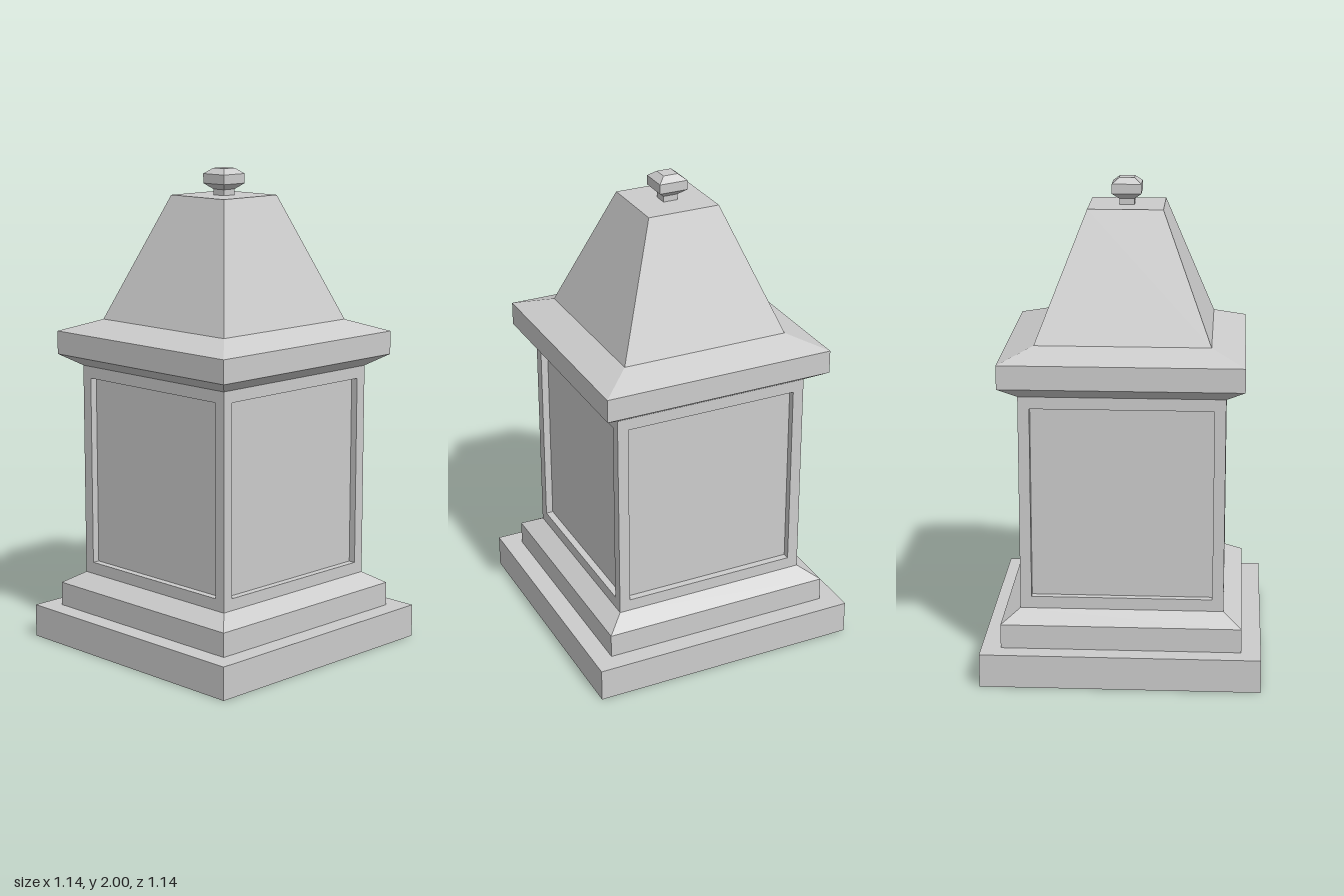
import * as THREE from 'three';

const material = new THREE.MeshStandardMaterial({ color: 0xcccccc, flatShading: true });

// Square stack: each profile entry is [half width, height], listed bottom to top
function squareLoft(profile) {
  const points = profile.map(([half, y]) => new THREE.Vector2(half * Math.SQRT2, y));
  const geometry = new THREE.LatheGeometry(points, 4, Math.PI / 4).toNonIndexed();
  geometry.computeVertexNormals();
  return geometry;
}

function addPart(parent, name, geometry) {
  const mesh = new THREE.Mesh(geometry, material);
  mesh.name = name;
  parent.add(mesh);
  return mesh;
}

export function createModel() {
  const model = new THREE.Group();
  model.name = 'pedestalMonument';

  // Stepped base with a sloped top
  addPart(model, 'base', squareLoft([
    [0, 0], [0.57, 0], [0.57, 0.138], [0.49, 0.138], [0.49, 0.238], [0.415, 0.286], [0, 0.286],
  ]));

  // Shaft: four walls, each a frame around a recessed panel
  const shaft = new THREE.Group();
  shaft.name = 'shaft';
  const half = 0.415, bottom = 0.286, top = 1.18, depth = 0.03;
  const wall = squareLoft([[half, half], [0.369, half], [0.369, half - depth], [0, half - depth]]);
  wall.rotateX(Math.PI / 2);
  wall.scale(1, (top - bottom) / (2 * half), 1);
  wall.translate(0, (top + bottom) / 2, 0);
  wall.computeVertexNormals();
  ['front', 'left', 'back', 'right'].forEach((side, i) => {
    addPart(shaft, side + 'PanelledWall', wall).rotation.y = i * Math.PI / 2;
  });
  model.add(shaft);

  // Cornice flaring out over the shaft
  addPart(model, 'cornice', squareLoft([
    [0, 1.18], [0.415, 1.18], [0.49, 1.228], [0.49, 1.325], [0.354, 1.375], [0, 1.375],
  ]));

  // Tapered roof with a flat top
  addPart(model, 'roof', squareLoft([[0.354, 1.375], [0.153, 1.89], [0, 1.89]]));

  // Small faceted knob on a neck
  addPart(model, 'finial', squareLoft([
    [0.031, 1.89], [0.031, 1.914], [0.06, 1.938], [0.06, 1.977], [0.031, 2], [0, 2],
  ]));

  return model;
}
